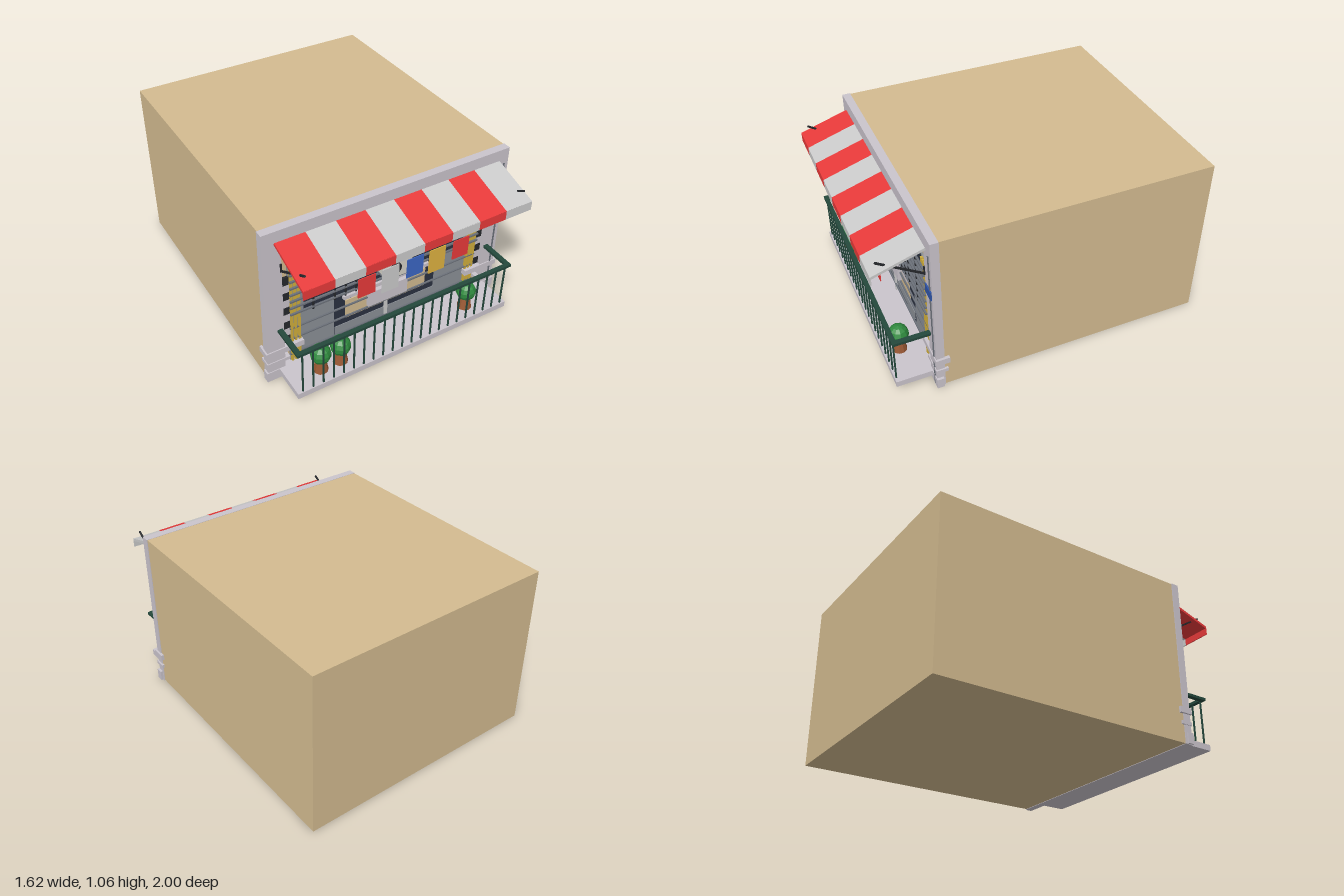
import * as THREE from 'three';

const mats = {};
const mat = (c) => (mats[c] ??= new THREE.MeshStandardMaterial({ color: c, flatShading: true, side: THREE.DoubleSide }));
const TAN = 0xd3bb90, STONE = 0xcac4cc, NAVY = 0x2b3140, STEEL = 0x6c717a, GREEN = 0x24483c,
  RED = 0xe83a3a, PALE = 0xbcbcbc, GOLD = 0xd0ae3c, BLACK = 0x26282c, SLATE = 0x8b9096;

export function createModel() {
  const root = new THREE.Group();
  const group = (name) => {
    const g = new THREE.Group();
    g.name = name;
    root.add(g);
    return g;
  };
  const add = (parent, name, geo, color, x = 0, y = 0, z = 0) => {
    const m = new THREE.Mesh(geo, mat(color));
    m.name = name;
    m.position.set(x, y, z);
    parent.add(m);
    return m;
  };
  // Box given by its limits on each axis
  const box = (p, name, color, x0, x1, y0, y1, z0, z1) =>
    add(p, name, new THREE.BoxGeometry(x1 - x0, y1 - y0, z1 - z0), color, (x0 + x1) / 2, (y0 + y1) / 2, (z0 + z1) / 2);
  // Square bar between two points of the same x
  const slope = (p, name, color, x, width, y0, z0, y1, z1, thick) => {
    const len = Math.hypot(y1 - y0, z1 - z0);
    const m = add(p, name, new THREE.BoxGeometry(width, thick, len), color, x, (y0 + y1) / 2, (z0 + z1) / 2);
    m.rotation.x = -Math.atan2(y1 - y0, z1 - z0);
    return m;
  };

  // Room block
  box(root, 'building', TAN, -0.795, 0.79, 0.003, 1.06, -1, 0.66);

  // Stone surround with a large opening
  const outline = new THREE.Shape([[-0.8, 0], [0.795, 0], [0.795, 1.062], [-0.8, 1.062]].map((p) => new THREE.Vector2(...p)));
  outline.holes.push(new THREE.Path([[-0.69, 0.07], [-0.69, 0.97], [0.69, 0.97], [0.69, 0.07]].map((p) => new THREE.Vector2(...p))));
  add(root, 'surround', new THREE.ExtrudeGeometry(outline, { depth: 0.05, bevelEnabled: false }), STONE, 0, 0, 0.648);

  // Ledges and wall stripes on both sides
  const trim = group('sideTrim');
  for (const s of [-1, 1]) {
    const side = (name, color, a, b, y0, y1, z0, z1) => box(trim, name, color, Math.min(s * a, s * b), Math.max(s * a, s * b), y0, y1, z0, z1);
    side('upperLedge', STONE, 0.57, 0.81, 0.187, 0.225, 0.62, 0.705);
    side('lowerLedge', STONE, 0.66, 0.805, 0.118, 0.14, 0.63, 0.703);
    side('plinth', STONE, 0.69, 0.81, 0.003, 0.07, 0.66, 0.703);
    for (let i = 0; i < 9; i++)
      side('wallStripe', i % 2 ? STONE : BLACK, 0.64, 0.69, 0.225 + i * 0.0535, 0.2785 + i * 0.0535, 0.655, 0.675);
    side('shutterPanel', SLATE, 0.55, 0.645, 0.02, 0.81, 0.655, 0.67);
    for (let i = 0; i < 3; i++)
      side('yellowPost', GOLD, 0.578 + i * 0.024, 0.592 + i * 0.024, 0.07, 0.81, 0.67, 0.685);
  }

  // Window and door front
  const front = group('shopFront');
  box(front, 'lowerPanel', SLATE, -0.55, 0.55, 0.02, 0.42, 0.655, 0.664);
  box(front, 'darkGlass', NAVY, -0.55, 0.55, 0.42, 0.81, 0.655, 0.668);
  box(front, 'headRail', SLATE, -0.19, 0.19, 0.77, 0.81, 0.668, 0.68);
  box(front, 'doorway', NAVY, -0.35, 0.35, 0.08, 0.42, 0.655, 0.668);
  box(front, 'doorPanel', TAN, -0.28, 0.28, 0.225, 0.36, 0.66, 0.674);
  box(front, 'lightSill', STONE, -0.3, 0.3, 0.385, 0.41, 0.66, 0.69);
  box(front, 'kickPlate', SLATE, -0.35, 0.35, 0.12, 0.18, 0.66, 0.672);
  box(front, 'centrePost', 0xd8d8d4, -0.01, 0.01, 0.03, 0.77, 0.66, 0.682);
  box(front, 'nameBoard', STONE, -0.135, 0.135, 0.26, 0.365, 0.67, 0.697);
  box(front, 'threshold', STEEL, -0.645, 0.645, 0.01, 0.03, 0.66, 0.71);

  // Window grille
  const grille = group('grille');
  for (let i = 0; i < 8; i++) {
    const y = 0.435 + i * 0.0475;
    box(grille, 'crossBar', STEEL, -0.645, 0.645, y, y + 0.01, 0.685, 0.697);
  }
  for (const y of [0.12, 0.24, 0.32]) box(grille, 'lowCrossBar', STEEL, -0.645, 0.645, y, y + 0.008, 0.675, 0.685);
  for (const x of [0.22, 0.29, 0.36, 0.5])
    for (const s of [-1, 1]) box(grille, 'uprightBar', BLACK, s * x - 0.005, s * x + 0.005, 0.42, 0.81, 0.683, 0.693);

  // Striped awning with hanging edge and arms
  const awning = group('awning');
  const w = 1.456 / 8;
  for (let i = 0; i < 8; i++) {
    const x = -0.728 + (i + 0.5) * w, c = i % 2 ? PALE : RED;
    slope(awning, 'stripe', c, x, w, 0.985, 0.698, 0.89, 0.996, 0.016);
    box(awning, 'valance', c, x - w / 2, x + w / 2, 0.84, 0.897, 0.994, 1);
  }
  for (const s of [-1, 1]) {
    slope(awning, 'arm', BLACK, s * 0.695, 0.01, 0.79, 0.698, 0.955, 0.96, 0.01);
    box(awning, 'wallBracket', BLACK, s * 0.695 - 0.005, s * 0.695 + 0.005, 0.785, 0.84, 0.69, 0.705);
  }
  slope(awning, 'innerShelf', PALE, 0, 0.3, 0.932, 0.698, 0.89, 0.805, 0.014);

  // Balcony slab and railing
  const balcony = group('balcony');
  box(balcony, 'slab', STONE, -0.73, 0.73, 0.032, 0.07, 0.66, 0.92);
  box(balcony, 'frontRail', GREEN, -0.73, 0.73, 0.358, 0.375, 0.895, 0.922);
  for (const s of [-1, 1])
    box(balcony, 'sideRail', GREEN, s * 0.715 - 0.015, s * 0.715 + 0.015, 0.358, 0.375, 0.695, 0.9);
  for (let i = 0; i <= 21; i++) {
    const x = -0.695 + (i * 1.39) / 21;
    box(balcony, 'baluster', GREEN, x - 0.004, x + 0.004, 0.07, 0.36, 0.905, 0.914);
  }

  // Potted round bushes
  for (const x of [-0.53, -0.4, 0.49]) {
    const plant = group('pottedBush');
    plant.position.set(x, 0.07, 0.82);
    add(plant, 'pot', new THREE.CylinderGeometry(0.028, 0.045, 0.09, 10), 0x9c5a35, 0, 0.045);
    add(plant, 'foliage', new THREE.SphereGeometry(0.062, 10, 7), 0x2f8a3e, 0, 0.125);
  }

  // Laundry on a line
  const laundry = group('laundry');
  [[-0.27, RED, 0.56], [-0.117, PALE, 0.525], [0.046, 0x3b66c4, 0.56], [0.196, 0xdfb240, 0.527], [0.36, RED, 0.56]]
    .forEach(([x, c, y]) => box(laundry, 'cloth', c, x - 0.055, x + 0.055, y, 0.692, 0.868, 0.873));
  box(laundry, 'line', STEEL, -0.5, 0.5, 0.708, 0.712, 0.868, 0.872);

  // Air conditioner
  const cooler = group('airConditioner');
  box(cooler, 'case', 0xd6d3c8, -0.08, 0.085, 0.515, 0.645, 0.68, 0.79);
  box(cooler, 'bracket', STEEL, -0.085, 0.09, 0.505, 0.515, 0.68, 0.785);
  add(cooler, 'fan', new THREE.CylinderGeometry(0.04, 0.04, 0.01, 16), BLACK, -0.028, 0.582, 0.792).rotation.x = Math.PI / 2;

  // Street plate and drain pipe
  box(root, 'streetPlate', 0x2f55a8, 0.7, 0.785, 0.67, 0.73, 0.69, 0.706);
  box(root, 'drainPipe', STEEL, 0.761, 0.769, 0.005, 0.965, 0.69, 0.704);

  return root;
}
